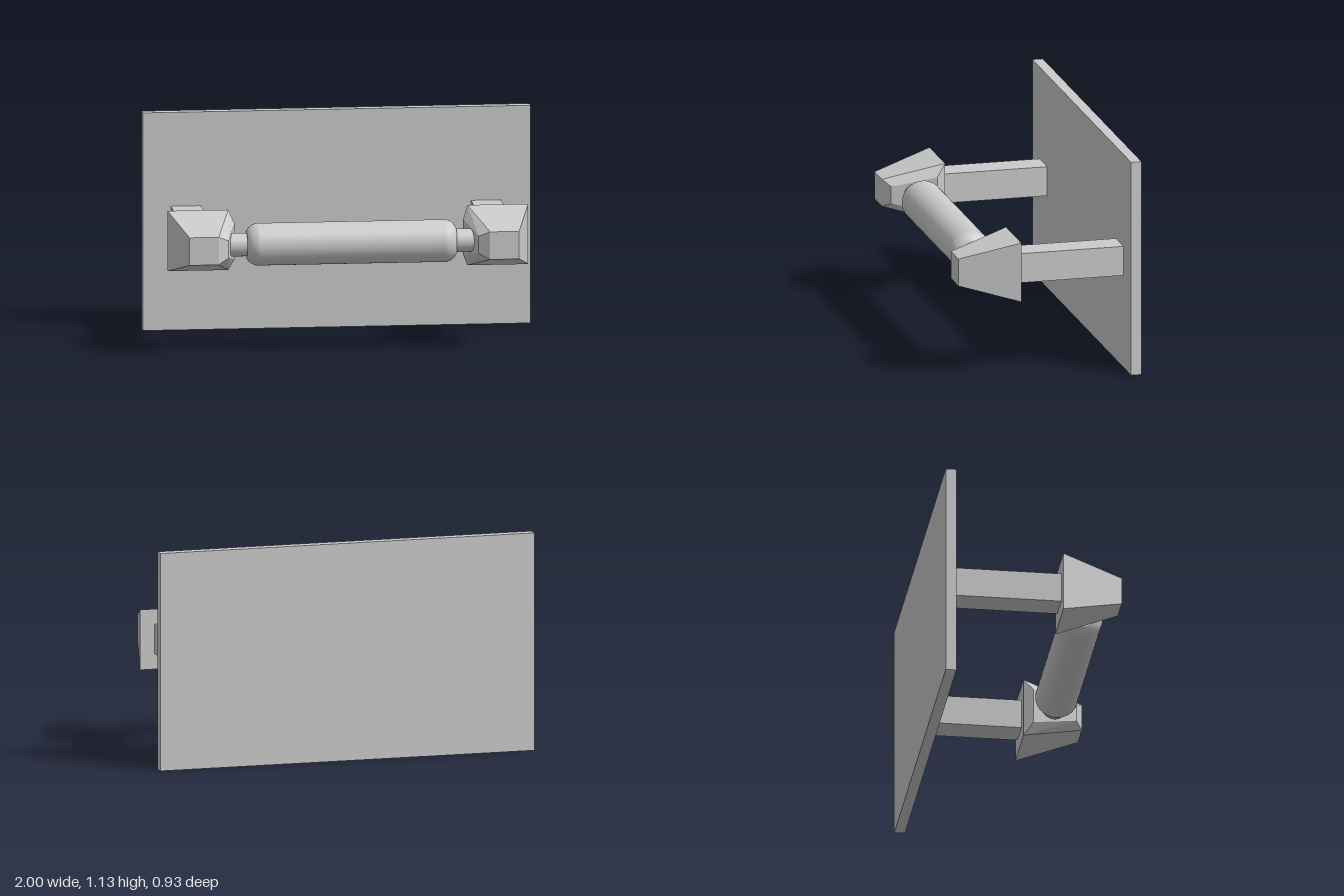
import * as THREE from 'three';
import { ConvexGeometry } from 'three/addons/geometries/ConvexGeometry.js';

const material = new THREE.MeshStandardMaterial({ color: 0xcccccc });
const MID_Y = 0.568;   // height of the arms and roller
const MID_X = -0.004;  // the fittings sit slightly off the plate's centre

function add(parent, name, geometry, x = 0, y = 0, z = 0) {
  const mesh = new THREE.Mesh(geometry, material);
  mesh.name = name;
  mesh.position.set(x, y, z);
  parent.add(mesh);
  return mesh;
}

// Tapered block with a raised, bevelled pad on its inner side
function headGeometry(side) {
  const points = [];
  for (const v of [-1, 1]) {
    for (const [x, y, z] of [
      [0.931, 0.157, 0.152], [0.617, 0.157, 0.152],  // back face
      [0.85, 0.072, 0.465], [0.7, 0.072, 0.465],     // front face
      [0.59, 0.093, 0.2], [0.645, 0.045, 0.43],      // inner pad
    ]) points.push(new THREE.Vector3(side * x, v * y, z));
  }
  return new ConvexGeometry(points);
}

// Turned solid along x; each straight run has its own vertices for crisp ends
function turned(profile) {
  const points = profile.map(([r, x]) => new THREE.Vector2(r, x));
  return new THREE.LatheGeometry(points, 48).rotateZ(-Math.PI / 2);
}

export function createModel() {
  const model = new THREE.Group();
  model.name = 'wallRollerHolder';

  add(model, 'backPlate', new THREE.BoxGeometry(2, 1.135, 0.055), 0, 0.5675, -0.4375);

  const fittings = new THREE.Group();
  fittings.name = 'fittings';
  fittings.position.set(MID_X, MID_Y, 0);
  model.add(fittings);

  // Arms and heads, mirrored left and right
  for (const side of [-1, 1]) {
    const label = side > 0 ? 'left' : 'right';
    add(fittings, label + 'Arm', new THREE.BoxGeometry(0.155, 0.155, 0.57), side * 0.774, 0, -0.13);
    add(fittings, label + 'Head', headGeometry(side));
  }

  // Roller with rounded shoulders
  const shoulder = [[0.07, 0.54], [0.088, 0.529], [0.101, 0.511], [0.109, 0.49]];
  const half = [...shoulder, [0.109, 0.48]];
  const profile = [
    ...half.map(([r, x]) => [r, -x]),
    ...half.slice().reverse(),
  ];
  add(fittings, 'roller', turned(profile), 0, 0.002, 0.305);
  for (const side of [-1, 1]) {
    const cap = new THREE.CircleGeometry(0.07, 48).rotateY(side * Math.PI / 2);
    add(fittings, 'rollerEndCap', cap, side * 0.54, 0.002, 0.305);
  }

  // Spindle through the roller into both heads
  const spindle = new THREE.CylinderGeometry(0.06, 0.06, 1.3, 40).rotateZ(Math.PI / 2);
  add(fittings, 'spindle', spindle, 0, 0.002, 0.305);

  return model;
}
